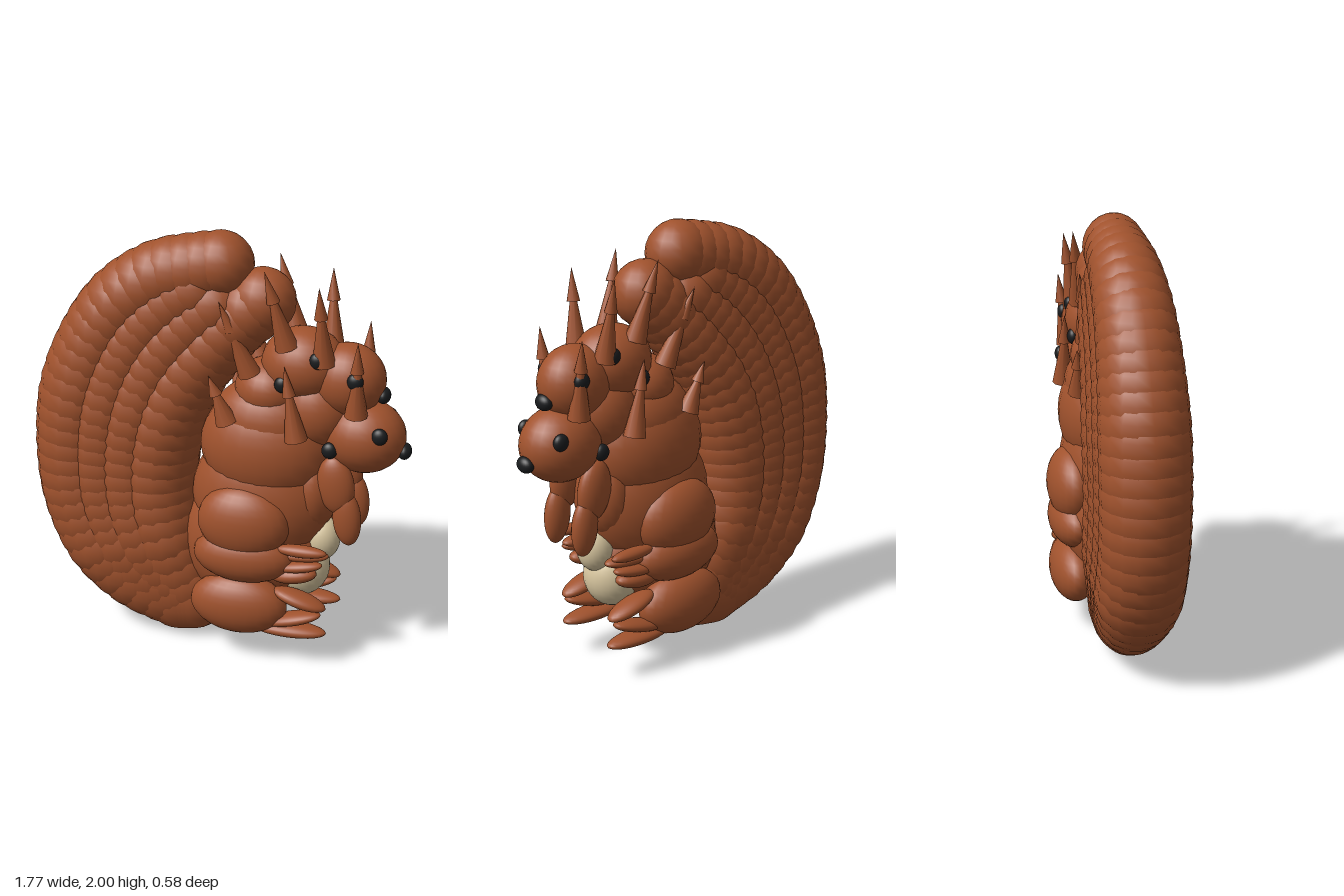
import * as THREE from 'three';

export function createModel() {
  const model = new THREE.Group();
  model.name = 'squirrel';
  const material = (name, color) => Object.assign(new THREE.MeshStandardMaterial({ color }), { name });
  const fur = material('russet fur', 0xa0522d);
  const cream = material('cream belly', 0xd9c7a0);
  const black = material('black', 0x1a1c1e);
  const sphere = new THREE.SphereGeometry(1, 24, 16);
  const scale = new THREE.SphereGeometry(1, 18, 12);

  // Ellipsoid at p with radii r, tilted in the side plane (rot) and turned outward (yaw)
  function blob(name, p, r, mat = fur, rot = 0, yaw = 0, geometry = sphere, parent = model) {
    const mesh = new THREE.Mesh(geometry, mat);
    mesh.name = name;
    mesh.position.set(...p);
    mesh.scale.set(...r);
    mesh.rotation.set(0, yaw, rot);
    parent.add(mesh);
    return mesh;
  }
  // The same ellipsoid on both sides of the body
  function pair(name, [x, y, z], r, mat = fur, rot = 0, yaw = 0) {
    for (const s of [1, -1]) blob(name, [x, y, s * z], r, mat, rot, -s * yaw);
  }

  // Tail: concentric strands of overlapping tufts between an outer and an inner path
  const tail = new THREE.Group();
  tail.name = 'tail';
  model.add(tail);
  const path = (pts) => new THREE.CatmullRomCurve3(pts.map(([x, y]) => new THREE.Vector3(x, y, 0)));
  const outer = path([[-0.2, 0.2], [-0.4, 0.28], [-0.56, 0.43], [-0.66, 0.66], [-0.685, 0.9],
    [-0.66, 1.18], [-0.58, 1.42], [-0.45, 1.63], [-0.27, 1.77], [-0.12, 1.82], [0.01, 1.85]]);
  const inner = path([[-0.14, 0.21], [-0.22, 0.4], [-0.28, 0.6], [-0.3, 0.8], [-0.27, 1.05],
    [-0.18, 1.28], [-0.04, 1.47], [0.08, 1.6], [0.2, 1.7]]);
  const strands = 4;
  for (let k = 0; k < strands; k++) {
    const w = k / (strands - 1);
    const count = Math.round(30 - 9 * w);
    for (let i = 0; i <= count; i++) {
      const t = i / count;
      // middle strands stop short so the two tips stay separate
      const u = k === 1 || k === 2 ? t * 0.9 : t;
      const p = outer.getPointAt(u).lerp(inner.getPointAt(u), w);
      const r = 0.2 - 0.05 * Math.max(0, (u - 0.55) / 0.45);
      const rz = Math.min(r, 0.15 + u * 0.25) - 0.01 * Math.max(0, u - 0.8) * 5;
      blob('tailTuft', [p.x, p.y, 0], [r, r, rz], fur, 0, 0, scale, tail);
    }
  }

  // Torso
  blob('hips', [0.12, 0.53], [0.29, 0.32, 0.22]);
  blob('abdomen', [0.21, 0.77], [0.33, 0.32, 0.22]);
  blob('chest', [0.23, 1.02], [0.31, 0.28, 0.22]);
  blob('shoulders', [0.24, 1.15], [0.26, 0.2, 0.19]);
  blob('neck', [0.24, 1.3], [0.16, 0.14, 0.16]);
  blob('lowerFront', [0.3, 0.5], [0.2, 0.2, 0.17]);
  blob('breast', [0.45, 0.83], [0.12, 0.2, 0.15]);
  blob('bellyPatch', [0.4, 0.43], [0.135, 0.15, 0.13], cream);
  blob('bellyPatchUpper', [0.49, 0.58], [0.09, 0.11, 0.085], cream);

  // Head and muzzle
  blob('headBack', [0.39, 1.43], [0.19, 0.165, 0.16]);
  blob('headFront', [0.59, 1.375], [0.17, 0.165, 0.145]);
  blob('throat', [0.45, 1.22], [0.17, 0.18, 0.15]);
  blob('muzzle', [0.67, 1.115], [0.19, 0.17, 0.16]);
  blob('noseLower', [0.855, 1.06, 0], [0.032, 0.037, 0.047], black);
  blob('noseUpper', [0.75, 1.315, 0], [0.032, 0.037, 0.047], black);
  for (const e of [[0.76, 1.17, 0.128], [0.645, 1.415, 0.13], [0.54, 1.075, 0.12],
    [0.475, 1.49, 0.125], [0.325, 1.37, 0.135]]) pair('eye', e, [0.036, 0.038, 0.026], black);

  // Pointed tufts: a long shaft with a wider barbed tip
  const up = new THREE.Vector3(0, 1, 0);
  for (const [bx, by, bz, tx, ty, tz] of [
    [0.335, 1.53, 0.1, 0.24, 1.88, 0.145], [0.5, 1.47, 0.1, 0.48, 1.83, 0.15],
    [0.17, 1.39, 0.1, 0.04, 1.73, 0.15], [0.65, 1.25, 0.11, 0.655, 1.6, 0.15],
    [0.08, 1.17, 0.15, 0, 1.39, 0.17], [0.4, 1.13, 0.17, 0.34, 1.47, 0.17]]) {
    for (const s of [1, -1]) {
      const base = new THREE.Vector3(bx, by, s * bz);
      const dir = new THREE.Vector3(tx, ty, s * tz).sub(base);
      const len = dir.length();
      const tuft = new THREE.Group();
      tuft.name = 'pointedTuft';
      tuft.position.copy(base);
      tuft.quaternion.setFromUnitVectors(up, dir.normalize());
      const shaft = new THREE.Mesh(new THREE.CylinderGeometry(0.012, 0.052, len * 0.68, 10), fur);
      shaft.name = 'tuftShaft';
      shaft.position.y = len * 0.34;
      const tip = new THREE.Mesh(new THREE.ConeGeometry(0.03, len * 0.4, 10), fur);
      tip.name = 'tuftTip';
      tip.position.y = len * 0.8;
      tuft.add(shaft, tip);
      model.add(tuft);
    }
  }

  // Front arms
  pair('upperArm', [0.57, 0.9, 0.1], [0.085, 0.14, 0.05], fur, 0.15);
  pair('forearm', [0.625, 0.745, 0.1], [0.065, 0.135, 0.045], fur, 0.1);

  // Haunches with claws
  pair('haunchUpper', [0.165, 0.7, 0.17], [0.215, 0.18, 0.12]);
  pair('haunchLower', [0.165, 0.53, 0.17], [0.235, 0.13, 0.115]);
  pair('finger', [0.44, 0.6, 0.2], [0.12, 0.028, 0.035], fur, 0.03, 0.05);
  pair('finger', [0.44, 0.56, 0.16], [0.12, 0.028, 0.045], fur, 0.05, -0.05);
  pair('finger', [0.43, 0.515, 0.19], [0.11, 0.026, 0.04], fur, 0.18);
  pair('finger', [0.4, 0.46, 0.17], [0.11, 0.04, 0.055], fur, 0.15);

  // Feet with toes
  pair('foot', [0.145, 0.28, 0.175], [0.23, 0.15, 0.11]);
  pair('toe', [0.43, 0.335, 0.17], [0.13, 0.034, 0.06], fur, -0.28);
  pair('toe', [0.4, 0.235, 0.18], [0.14, 0.03, 0.055], fur, 0.27);
  pair('toe', [0.38, 0.17, 0.165], [0.18, 0.034, 0.06], fur, 0);

  // Ellipsoids listed without a z sit on the middle plane
  model.traverse((o) => { if (Number.isNaN(o.position.z) || o.position.z === undefined) o.position.z = 0; });
  return model;
}
